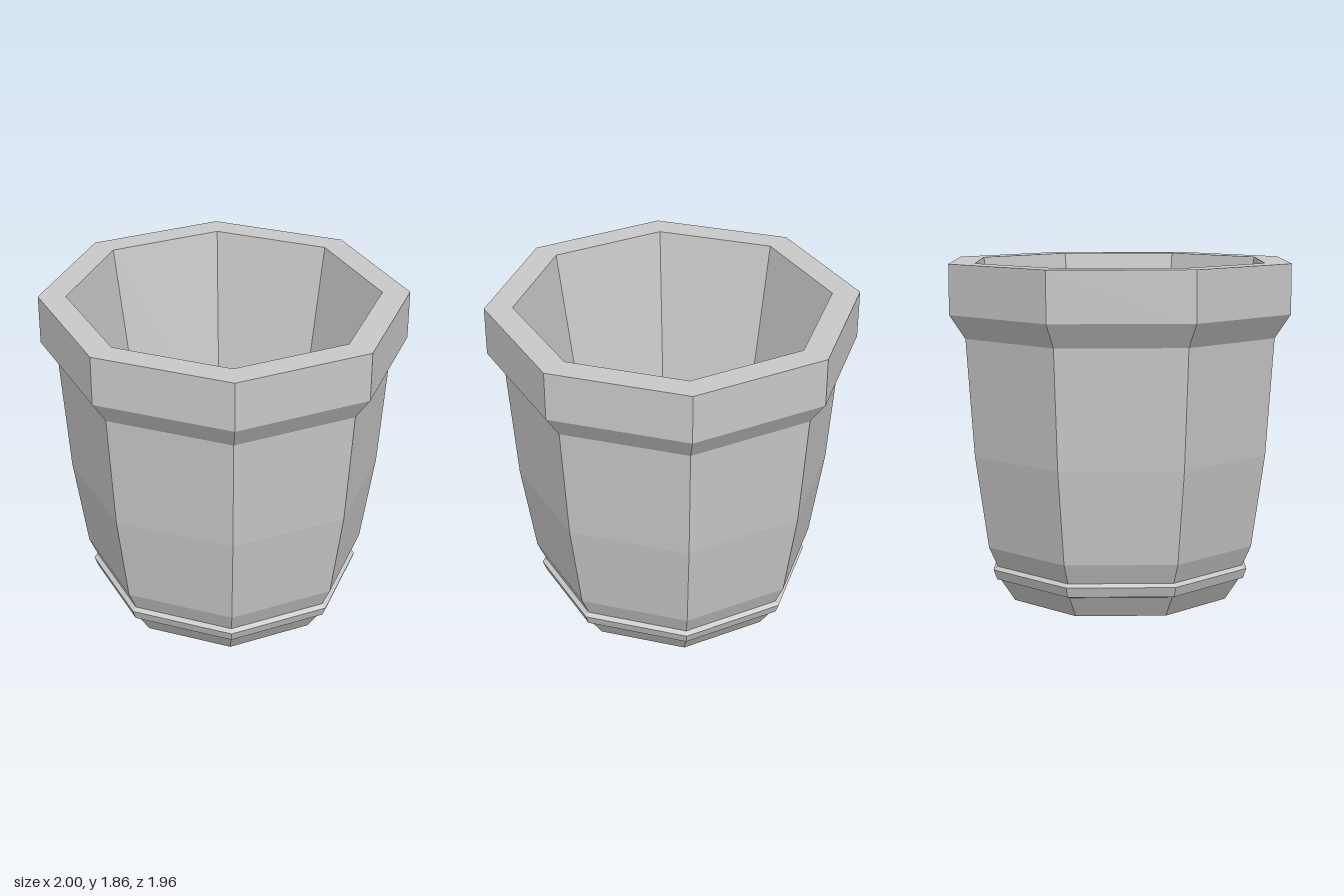
import * as THREE from 'three';

const SIDES = 8;
const DEPTH = 0.98; // the octagon is slightly narrower front to back

// Turns a [radius, height] profile into a faceted eight-sided shell
function facetedLathe(profile) {
  const points = profile.map(([r, y]) => new THREE.Vector2(r, y));
  const geometry = new THREE.LatheGeometry(points, SIDES).toNonIndexed();
  geometry.scale(1, 1, DEPTH);
  geometry.computeVertexNormals();
  return geometry;
}

export function createModel() {
  const clay = new THREE.MeshStandardMaterial({ color: 0xc8c8c8 });
  const pot = new THREE.Group();
  pot.name = 'flowerPot';

  const parts = {
    // base with the thin projecting lip around it
    base: [[0, 0], [0.64, 0], [0.72, 0.12], [0.745, 0.128], [0.765, 0.183], [0.74, 0.2]],
    // gently curved outer wall
    body: [[0.74, 0.2], [0.79, 0.31], [0.865, 0.82], [0.91, 1.46]],
    // flared collar and flat top
    rim: [[0.91, 1.46], [1, 1.59], [1, 1.86], [0.85, 1.86]],
    // tapering hollow and its floor
    interior: [[0.85, 1.86], [0.64, 0.56], [0, 0.56]],
  };

  for (const [name, profile] of Object.entries(parts)) {
    const mesh = new THREE.Mesh(facetedLathe(profile), clay);
    mesh.name = name;
    pot.add(mesh);
  }
  return pot;
}
